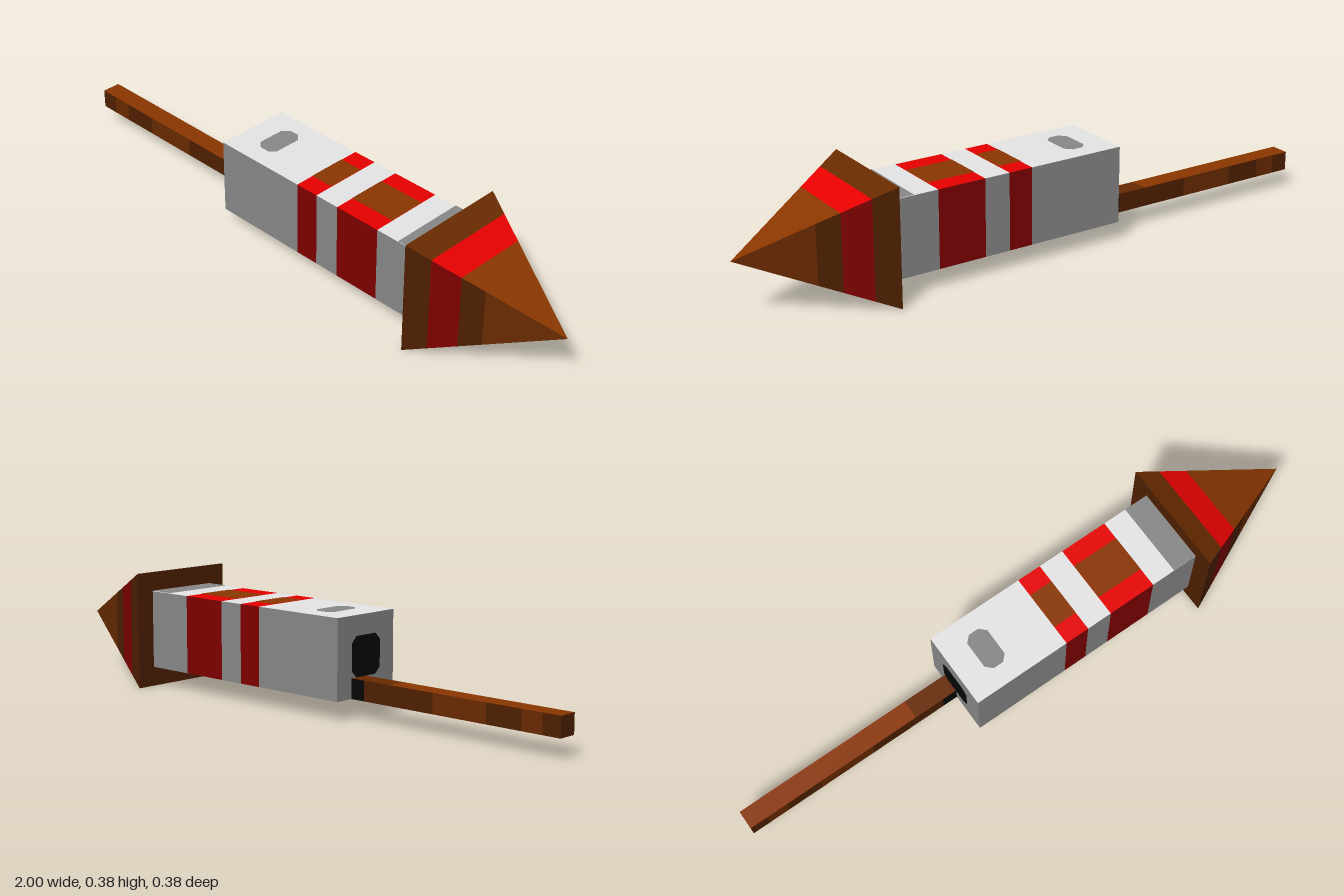
import * as THREE from 'three';

const mat = (name, color) => new THREE.MeshStandardMaterial({ name, color });

export function createModel() {
  const model = new THREE.Group();
  model.name = 'fireworkRocket';
  const grey = mat('light grey', 0xe6e6e6);
  const darkGrey = mat('dark grey', 0x888888);
  const red = mat('red', 0xf20000);
  const darkRed = mat('dark red', 0x800000);
  const brown = mat('brown', 0x8a3600);
  const midBrown = mat('mid brown', 0x682a00);
  const darkBrown = mat('dark brown', 0x4e1f00);
  const black = mat('black', 0x070707);
  const MID = 0.1875; // height of the rocket axis

  const add = (parent, name, geometry, material) => {
    const mesh = new THREE.Mesh(geometry, material);
    mesh.name = name;
    parent.add(mesh);
    return mesh;
  };
  // Box with separate materials for its ends, top and bottom, and sides
  const box = (parent, name, [end, flat, side], x0, x1, y0, y1, z0, z1) => {
    const m = add(parent, name, new THREE.BoxGeometry(x1 - x0, y1 - y0, z1 - z0),
      [end, end, flat, flat, side, side]);
    m.position.set((x0 + x1) / 2, (y0 + y1) / 2, (z0 + z1) / 2);
  };
  // Flat octagonal spot, facing +z
  const spot = (w, h, cut) => {
    const a = w / 2, b = h / 2;
    const pts = [[-a, -b + cut], [-a + cut, -b], [a - cut, -b], [a, -b + cut],
      [a, b - cut], [a - cut, b], [-a + cut, b], [-a, b - cut]];
    return new THREE.ShapeGeometry(new THREE.Shape(pts.map(p => new THREE.Vector2(...p))));
  };

  // Square body tube with full-width stripes, darker on the sides
  const body = new THREE.Group();
  body.name = 'body';
  model.add(body);
  const stops = [-0.25, 0.075, 0.155, 0.24, 0.4, 0.5625];
  for (let i = 0; i < stops.length - 1; i++) {
    const striped = i % 2 === 1;
    box(body, striped ? 'redStripe' : 'bodySection',
      striped ? [darkRed, red, darkRed] : [darkGrey, grey, darkGrey],
      stops[i], stops[i + 1], 0.0625, 0.3125, -0.125, 0.125);
  }

  // Painted patches on the top and underside
  for (const dir of [1, -1]) {
    const paint = (name, geometry, material, x, z) => {
      const m = add(body, name, geometry, material);
      m.rotation.x = -dir * Math.PI / 2;
      m.position.set(x, MID + dir * 0.1265, z);
    };
    paint('stripePatch', new THREE.PlaneGeometry(0.08, 0.126), brown, 0.115, -0.001);
    paint('stripePatch', new THREE.PlaneGeometry(0.16, 0.126), brown, 0.32, -0.001);
    paint('collarBand', new THREE.PlaneGeometry(0.0825, 0.25), darkGrey, 0.52125, 0);
    paint('bodySpot', spot(0.074, 0.13, 0.02), darkGrey, -0.132, -0.002);
  }

  // Dark nozzle at the tail
  const nozzle = add(body, 'nozzle', spot(0.125, 0.125, 0.02), black);
  nozzle.rotation.y = -Math.PI / 2;
  nozzle.position.set(-0.2515, MID, 0);

  // Guide stick, in wood tones along its length
  const stick = new THREE.Group();
  stick.name = 'stick';
  model.add(stick);
  const tones = [
    [-1, -0.94, brown, darkBrown], [-0.94, -0.87, brown, midBrown],
    [-0.87, -0.75, brown, darkBrown], [-0.75, -0.56, brown, midBrown],
    [-0.56, -0.4, brown, darkBrown], [-0.4, -0.3, midBrown, darkBrown],
    [-0.3, -0.25, midBrown, black],
  ];
  for (const [x0, x1, flat, side] of tones) {
    box(stick, 'stickSection', [darkBrown, flat, side], x0, x1, 0.0625, 0.125, -0.0625, 0);
  }

  // Pyramid nose: four sloping sides, each cut into colour bands
  const nose = new THREE.Group();
  nose.name = 'noseCone';
  nose.position.y = MID;
  model.add(nose);
  const half = x => 0.1875 * (1 - x) / 0.4375;
  const band = (x0, x1) => {
    const a = half(x0), b = half(x1);
    const corners = [[x0, a, -a], [x0, a, a], [x1, b, b], [x1, b, -b]];
    const order = b > 0 ? [0, 1, 2, 0, 2, 3] : [0, 1, 2];
    const g = new THREE.BufferGeometry();
    g.setAttribute('position',
      new THREE.Float32BufferAttribute(order.flatMap(i => corners[i]), 3));
    g.computeVertexNormals();
    return g;
  };
  for (let k = 0; k < 4; k++) {
    const flank = k % 2 === 1; // front and back faces are darker
    const side = new THREE.Group();
    side.name = 'noseSide';
    side.rotation.x = k * Math.PI / 2;
    nose.add(side);
    add(side, 'noseRim', band(0.5625, 0.633), flank ? darkBrown : midBrown);
    add(side, 'noseStripe', band(0.633, 0.715), flank ? darkRed : red);
    add(side, 'noseBand', band(0.715, 0.78), flank ? darkBrown : brown);
    add(side, 'noseTip', band(0.78, 1), flank ? midBrown : brown);
  }
  const base = add(nose, 'noseBase', new THREE.PlaneGeometry(0.375, 0.375), darkBrown);
  base.rotation.y = -Math.PI / 2;
  base.position.x = 0.5625;

  return model;
}
